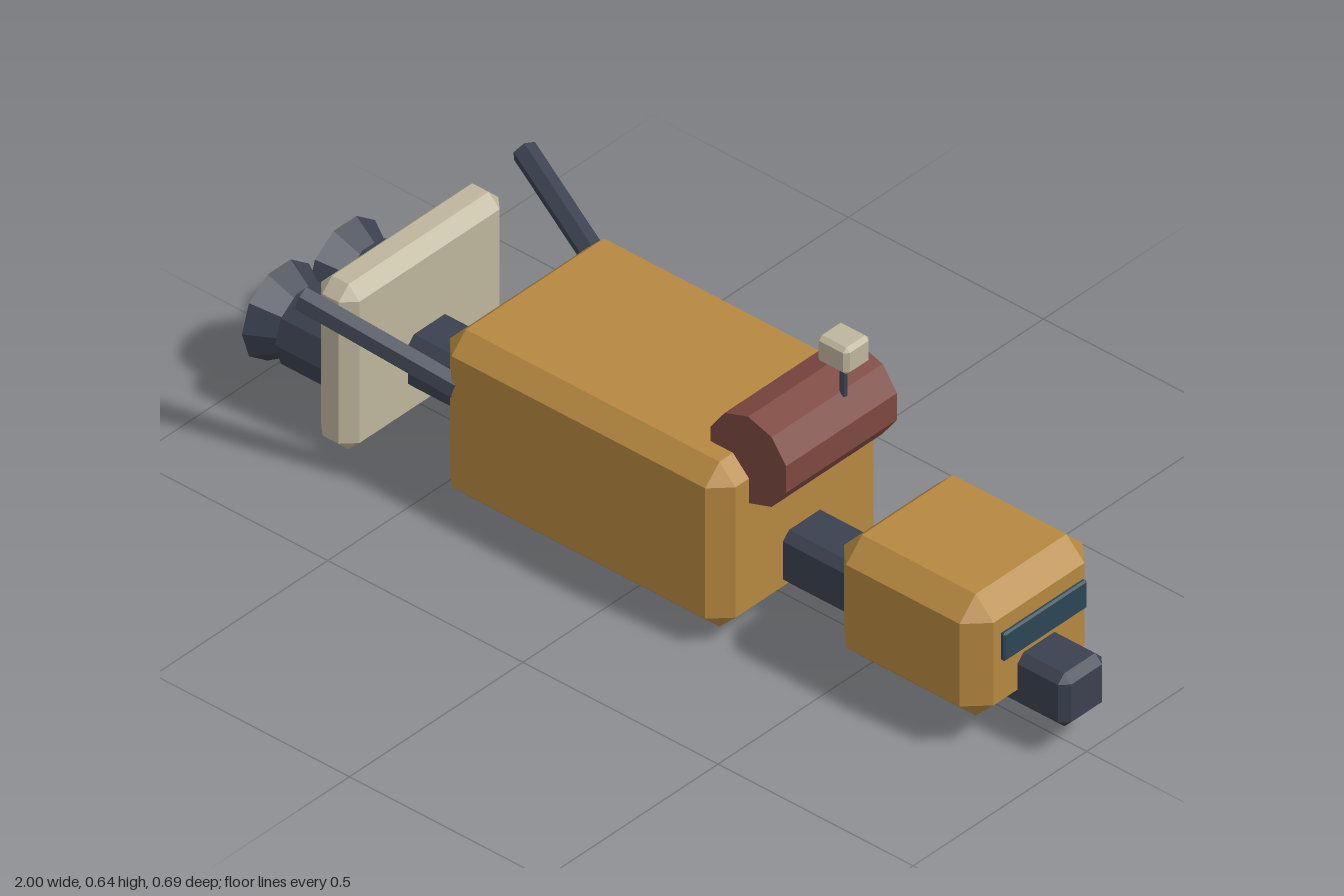
import * as THREE from 'three';
import { ConvexGeometry } from 'three/addons/geometries/ConvexGeometry.js';

const mat = (color) => new THREE.MeshStandardMaterial({ color, flatShading: true });

// Box given by its limits, with all edges and corners cut by c
function chamferBox([x0, x1], [y0, y1], [z0, z1], c) {
  const half = [(x1 - x0) / 2, (y1 - y0) / 2, (z1 - z0) / 2];
  const points = [];
  for (const sx of [-1, 1]) for (const sy of [-1, 1]) for (const sz of [-1, 1]) {
    for (let full = 0; full < 3; full++) {
      const p = half.map((h, i) => (i === full ? h : h - c));
      points.push(new THREE.Vector3(sx * p[0], sy * p[1], sz * p[2]));
    }
  }
  return new ConvexGeometry(points).translate((x0 + x1) / 2, (y0 + y1) / 2, (z0 + z1) / 2);
}

// Cylinder between two points, radius ra at a and rb at b
function rod(a, b, ra, rb, sides) {
  const from = new THREE.Vector3(...a), to = new THREE.Vector3(...b);
  const dir = to.clone().sub(from);
  const geo = new THREE.CylinderGeometry(rb, ra, dir.length(), sides);
  geo.applyQuaternion(new THREE.Quaternion().setFromUnitVectors(
    new THREE.Vector3(0, 1, 0), dir.normalize()));
  const mid = from.add(to).multiplyScalar(0.5);
  return geo.translate(mid.x, mid.y, mid.z);
}

export function createModel() {
  const model = new THREE.Group();
  model.name = 'spacecraft';
  const gold = mat(0xb58840), dark = mat(0x3a414e), pale = mat(0xbdb59c);
  const maroon = mat(0x7c4840), glass = mat(0x2b4654), black = mat(0x1b1d22);
  const add = (name, geometry, material, parent = model) => {
    const mesh = new THREE.Mesh(geometry, material);
    mesh.name = name;
    parent.add(mesh);
    return mesh;
  };

  // Central beam, cargo hull and cabin
  add('spine', chamferBox([-0.74, 1], [0.075, 0.2], [-0.0625, 0.0625], 0.018), dark);
  add('hull', chamferBox([-0.455, 0.277], [0.035, 0.425], [-0.24, 0.24], 0.041), gold);
  add('cabin', chamferBox([0.495, 0.878], [0.075, 0.362], [-0.177, 0.177], 0.046), gold);
  add('window', chamferBox([0.884, 0.896], [0.224, 0.291], [-0.12, 0.12], 0.004), glass);

  // Cross tank with sensor mast
  add('tank', rod([0.275, 0.427, -0.16], [0.275, 0.427, 0.16], 0.102, 0.102, 10), maroon);
  add('mast', rod([0.337, 0.5, -0.045], [0.337, 0.59, -0.045], 0.008, 0.008, 8), dark);
  add('sensor', chamferBox([0.297, 0.377], [0.578, 0.641], [-0.081, -0.009], 0.009), pale);

  // Engine shield plate
  add('shield', chamferBox([-0.782, -0.684], [0, 0.39], [-0.23, 0.23], 0.028), pale);

  for (const s of [1, -1]) {
    const side = s > 0 ? 'front' : 'back';

    // Swept strut on the hull flank
    add(side + 'Strut', rod([-0.415, 0.303, s * 0.225], [-0.727, 0.415, s * 0.322], 0.027, 0.027, 6), dark);

    // Engine with flared nozzle
    const engine = new THREE.Group();
    engine.name = side + 'Engine';
    model.add(engine);
    const alongX = (x0, x1, r0, r1) => new THREE.CylinderGeometry(r1, r0, x0 - x1, 10)
      .rotateZ(Math.PI / 2).translate((x0 + x1) / 2, 0.14, s * 0.095);
    add('engineBody', alongX(-0.74, -0.915, 0.091, 0.091), dark, engine);
    add('nozzle', alongX(-0.91, -0.985, 0.062, 0.107), dark, engine);
    add('nozzleThroat', alongX(-0.98, -0.99, 0.07, 0.07), black, engine);
    add('nozzleCore', alongX(-0.98, -1, 0.024, 0.024), gold, engine);
  }
  return model;
}
